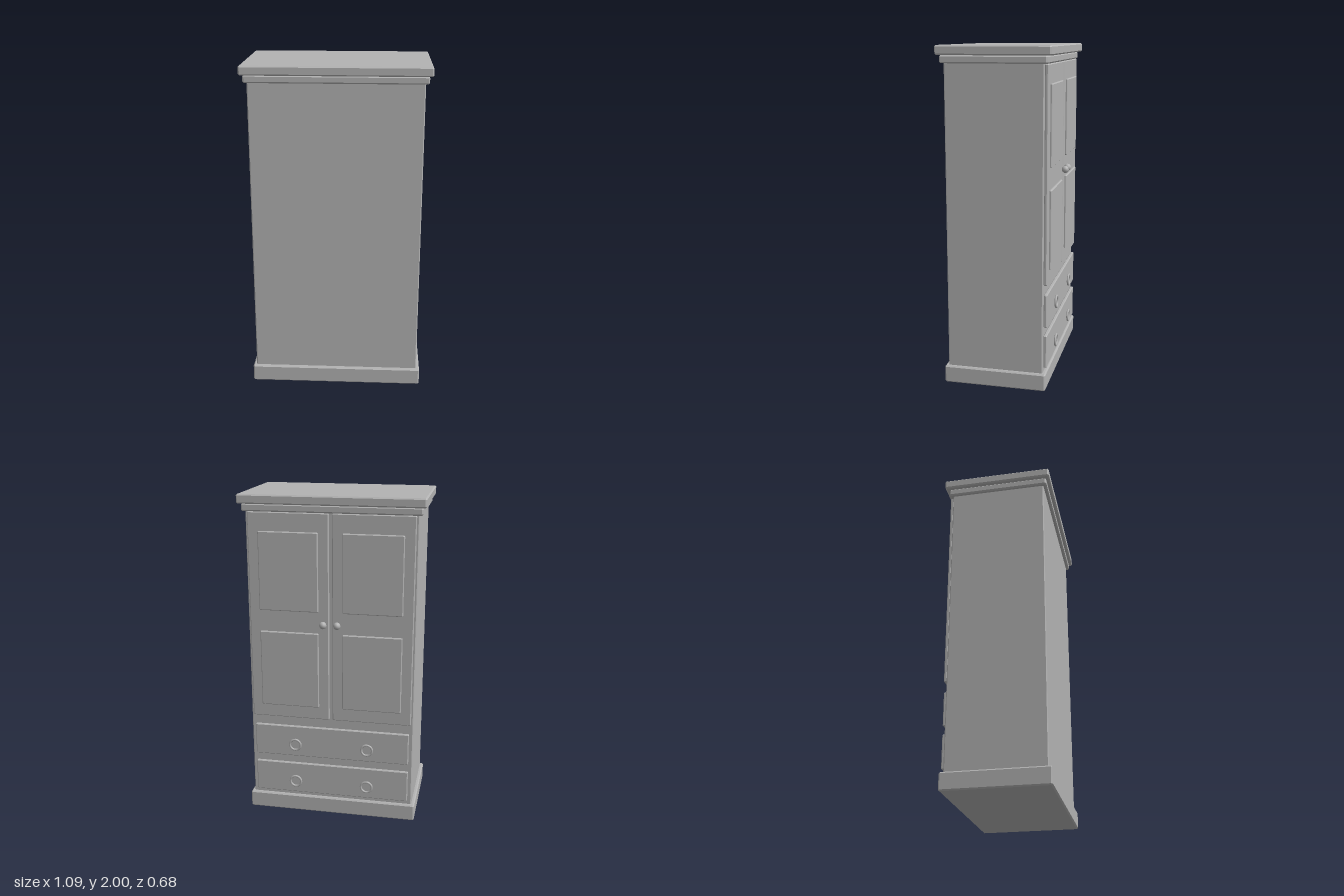
import * as THREE from 'three';
import { ConvexGeometry } from 'three/addons/geometries/ConvexGeometry.js';

const grey = new THREE.MeshStandardMaterial({ color: 0xb2b2b2 });
grey.name = 'plain grey';

// Box with chamfered edges, given by its limits on each axis
function chamferBox(name, [x0, x1], [y0, y1], [z0, z1], c) {
  const hx = (x1 - x0) / 2, hy = (y1 - y0) / 2, hz = (z1 - z0) / 2;
  const points = [];
  for (const sx of [-1, 1]) for (const sy of [-1, 1]) for (const sz of [-1, 1]) {
    points.push(
      new THREE.Vector3(sx * hx, sy * (hy - c), sz * (hz - c)),
      new THREE.Vector3(sx * (hx - c), sy * hy, sz * (hz - c)),
      new THREE.Vector3(sx * (hx - c), sy * (hy - c), sz * hz));
  }
  const mesh = new THREE.Mesh(new ConvexGeometry(points), grey);
  mesh.name = name;
  mesh.position.set((x0 + x1) / 2, (y0 + y1) / 2, (z0 + z1) / 2);
  return mesh;
}

export function createModel() {
  const model = new THREE.Group();
  model.name = 'wardrobe';

  // Carcass, plinth and stepped cornice
  model.add(
    chamferBox('carcass', [-0.505, 0.505], [0.09, 1.91], [-0.275, 0.3], 0.006),
    chamferBox('plinth', [-0.525, 0.525], [0, 0.105], [-0.295, 0.32], 0.008),
    chamferBox('lowerCornice', [-0.525, 0.525], [1.9, 1.945], [-0.295, 0.32], 0.008),
    chamferBox('upperCornice', [-0.545, 0.545], [1.945, 2], [-0.32, 0.34], 0.008));

  // Two doors, each with two raised panels and a knob
  for (const s of [-1, 1]) {
    const door = new THREE.Group();
    door.name = s > 0 ? 'leftDoor' : 'rightDoor';
    const span = (a, b) => (s > 0 ? [a, b] : [-b, -a]);
    door.add(chamferBox('doorLeaf', span(0.01, 0.49), [0.64, 1.9], [-0.295, -0.274], 0.005));
    for (const y of [0.72, 1.32]) {
      door.add(chamferBox('doorPanel', span(0.072, 0.428), [y, y + 0.47], [-0.307, -0.285], 0.005));
    }
    const knob = new THREE.Mesh(new THREE.SphereGeometry(0.022, 12, 8), grey);
    knob.name = 'doorKnob';
    knob.position.set(s * 0.042, 1.248, -0.318);
    door.add(knob);
    model.add(door);
  }

  // Two drawers with ring pulls
  for (const y of [0.13, 0.38]) {
    const drawer = new THREE.Group();
    drawer.name = 'drawer';
    drawer.add(chamferBox('drawerFront', [-0.48, 0.48], [y, y + 0.2], [-0.295, -0.274], 0.005));
    for (const x of [-0.225, 0.225]) {
      const ring = new THREE.Mesh(new THREE.TorusGeometry(0.034, 0.007, 8, 20), grey);
      ring.name = 'ringPull';
      ring.position.set(x, y + 0.08, -0.305);
      drawer.add(ring);
    }
    model.add(drawer);
  }
  return model;
}
